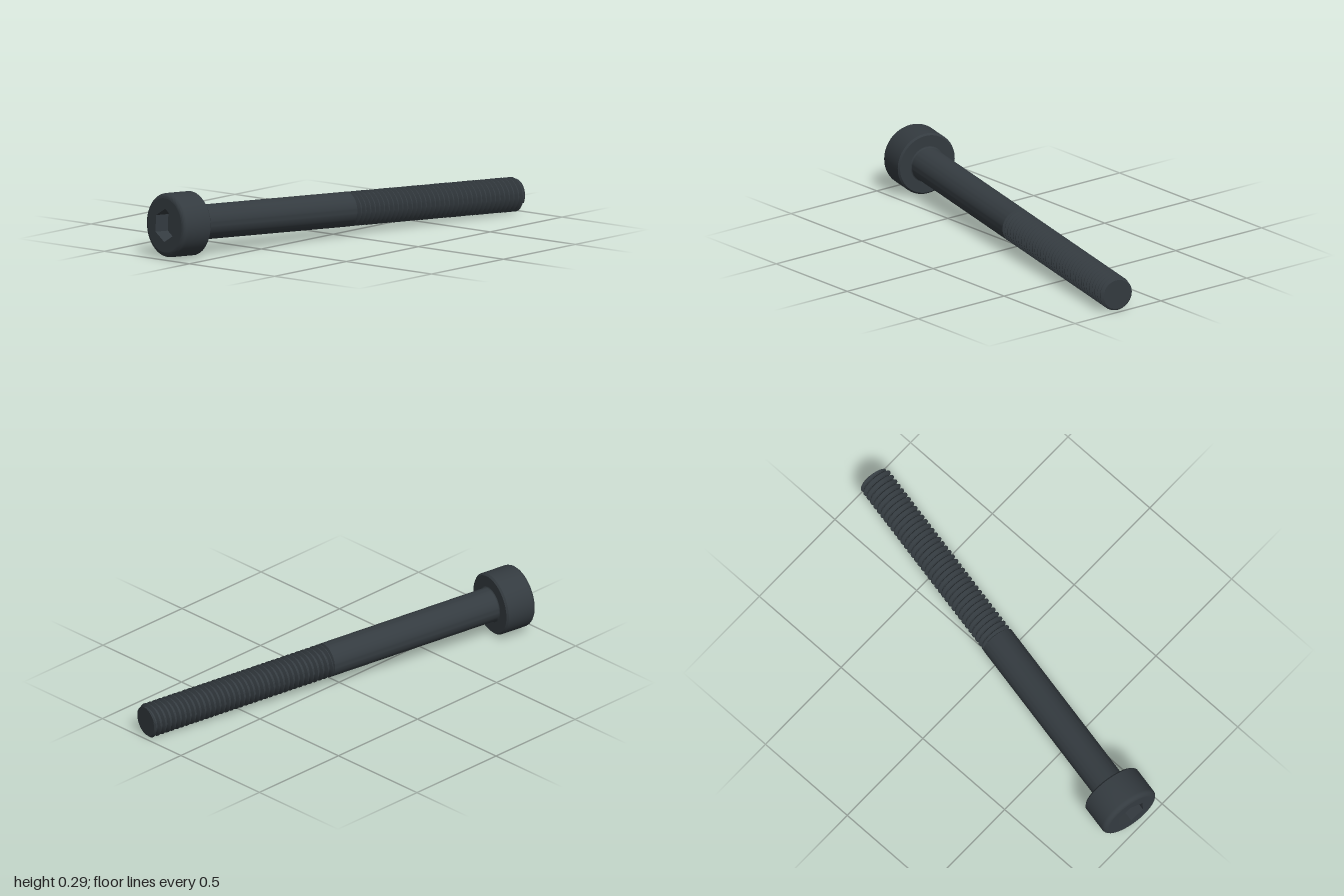
import * as THREE from 'three';
import { toCreasedNormals } from 'three/addons/utils/BufferGeometryUtils.js';

const LENGTH = 1.997, HEAD_H = 0.156, HEAD_R = 0.1445;
const SHANK_R = 0.0785, ROOT_R = 0.063, TIP_R = 0.069;
const PITCH = 0.0263, THREAD_START = 1.035;
const HEX_R = 0.0755, HEX_DEPTH = 0.07;

// Quarter-round points between two angles
function arc(cx, cy, r, from, to, n = 5) {
  return Array.from({ length: n + 1 }, (_, i) => {
    const a = from + ((to - from) * i) / n;
    return new THREE.Vector2(cx + r * Math.cos(a), cy + r * Math.sin(a));
  });
}

const lathe = (points) => toCreasedNormals(new THREE.LatheGeometry(points, 64), 0.6);

// Right-handed helical thread, clipped flat at both ends and chamfered at the tip
function threadGeometry(start, end) {
  const cols = 48;
  const profile = [[0, ROOT_R], [0.25, ROOT_R], [0.5625, SHANK_R], [0.6875, SHANK_R]];
  const turns = Math.ceil((end - start) / PITCH) + 1;
  const positions = [], index = [];
  const rows = (turns + 1) * profile.length;
  for (let i = 0; i < rows; i++) {
    const [phase, radius] = profile[i % profile.length];
    const turn = Math.floor(i / profile.length) - 1;
    for (let j = 0; j <= cols; j++) {
      const t = (j / cols) * Math.PI * 2;
      const y = THREE.MathUtils.clamp(start + (turn + phase + j / cols) * PITCH, start, end);
      const r = Math.min(radius, TIP_R + end - y);
      positions.push(r * Math.cos(t), y, -r * Math.sin(t));
    }
  }
  const yOf = (k) => positions[k * 3 + 1];
  for (let i = 0; i < rows - 1; i++) {
    for (let j = 0; j < cols; j++) {
      const a = i * (cols + 1) + j, b = a + 1, d = a + cols + 1, c = d + 1;
      for (const tri of [[a, b, c], [a, c, d]]) {
        const ys = tri.map(yOf);
        if (Math.max(...ys) - Math.min(...ys) > 1e-6) index.push(...tri);
      }
    }
  }
  const g = new THREE.BufferGeometry();
  g.setAttribute('position', new THREE.Float32BufferAttribute(positions, 3));
  g.setIndex(index);
  return toCreasedNormals(g, 0.5);
}

export function createModel() {
  const steel = new THREE.MeshStandardMaterial({ color: 0x343b40 });
  steel.name = 'blackSteel';
  const model = new THREE.Group();
  model.name = 'socketHeadScrew';
  const screw = new THREE.Group();
  screw.name = 'screw';
  model.add(screw);
  const add = (name, geometry) => {
    const mesh = new THREE.Mesh(geometry, steel);
    mesh.name = name;
    screw.add(mesh);
    return mesh;
  };

  // Head: rounded outer rim, small chamfer below, flat underside
  const rim = 0.022, bevel = 0.008;
  add('headSide', lathe([
    ...arc(HEAD_R - rim, rim, rim, -Math.PI / 2, 0),
    new THREE.Vector2(HEAD_R, HEAD_H - bevel),
    new THREE.Vector2(HEAD_R - bevel, HEAD_H),
    new THREE.Vector2(SHANK_R, HEAD_H),
  ]));

  // Head face with a six-sided hole
  const face = new THREE.Shape().absarc(0, 0, HEAD_R - rim, 0, Math.PI * 2);
  const hole = new THREE.Path();
  hole.setFromPoints(Array.from({ length: 7 }, (_, i) => {
    const a = (-i * Math.PI) / 3;
    return new THREE.Vector2(HEX_R * Math.cos(a), HEX_R * Math.sin(a));
  }));
  face.holes.push(hole);
  add('headFace', new THREE.ShapeGeometry(face, 32).rotateX(Math.PI / 2));

  // Hex socket: inward-facing walls and floor
  const walls = new THREE.CylinderGeometry(HEX_R, HEX_R, HEX_DEPTH, 6, 1, true)
    .rotateY(Math.PI / 2).scale(1, 1, -1).toNonIndexed();
  walls.computeVertexNormals();
  add('socketWalls', walls).position.y = HEX_DEPTH / 2;
  add('socketFloor', new THREE.CircleGeometry(HEX_R, 6).rotateX(Math.PI / 2)).position.y = HEX_DEPTH;

  // Plain shank with a small fillet under the head
  const fillet = 0.006;
  add('shank', lathe([
    ...arc(SHANK_R + fillet, HEAD_H + fillet, fillet, -Math.PI / 2, -Math.PI, 4),
    new THREE.Vector2(SHANK_R, THREAD_START),
    new THREE.Vector2(ROOT_R - 0.002, THREAD_START + 0.008),
  ]));

  // Threaded end and its flat tip
  add('thread', threadGeometry(THREAD_START, LENGTH));
  add('tip', new THREE.CircleGeometry(TIP_R, 48).rotateX(-Math.PI / 2)).position.y = LENGTH;

  // Lay the screw down along its slanted axis, head at the right
  const head = new THREE.Vector3(-0.968, 0.152, -0.172);
  const axis = new THREE.Vector3(0.985, 0.079, 0.24).sub(head).normalize();
  const side = new THREE.Vector3(0, 1, 0).addScaledVector(axis, -axis.y).normalize();
  const third = new THREE.Vector3().crossVectors(side, axis);
  screw.quaternion.setFromRotationMatrix(new THREE.Matrix4().makeBasis(side, axis, third));
  screw.position.copy(head);
  return model;
}
